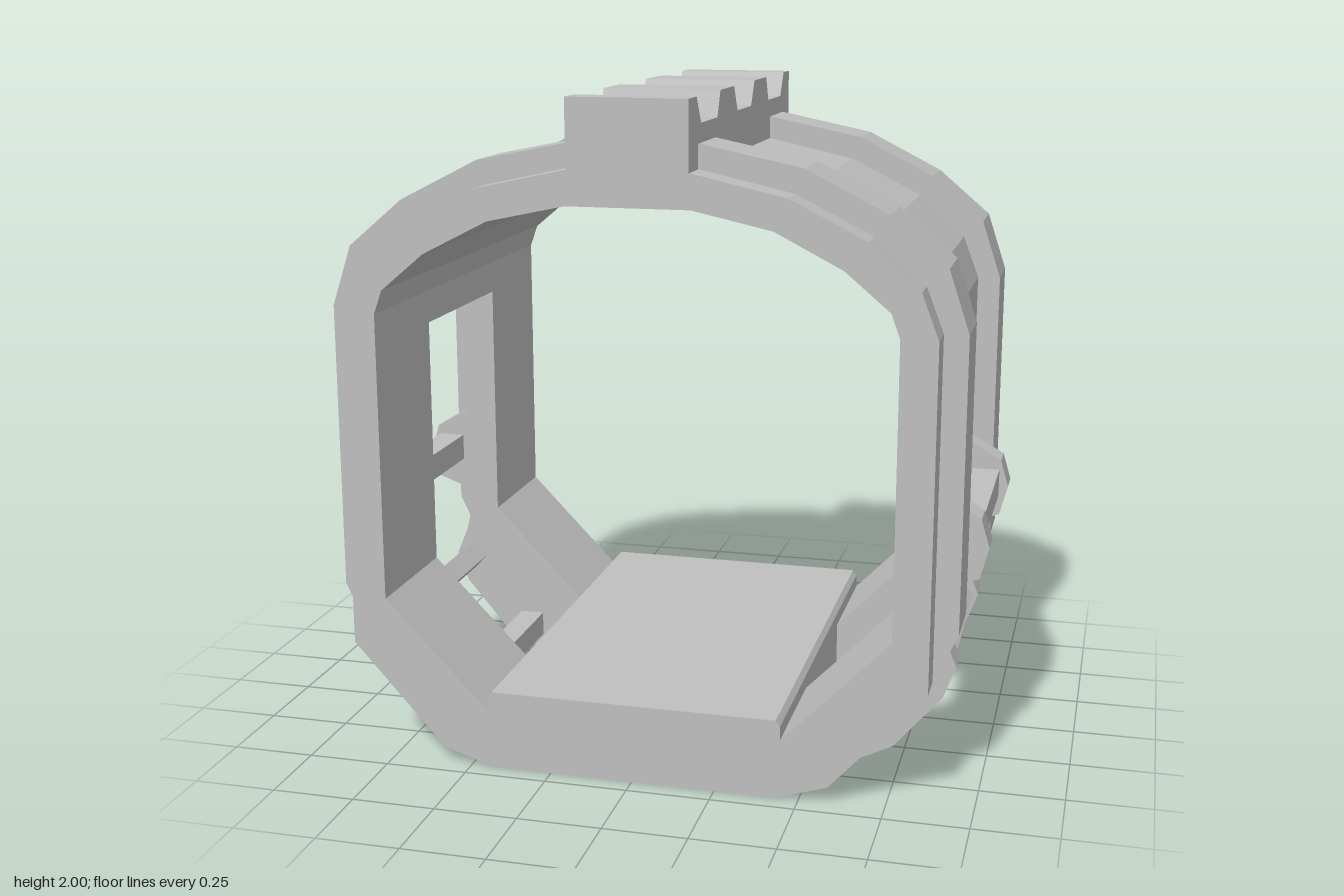
import * as THREE from 'three';

// Half profiles (+x side), listed from the bottom up to the crown.
const outerTop = [[0.865, 1.37], [0.815, 1.5], [0.67, 1.63], [0.45, 1.74], [0.18, 1.8]];
const innerTop = [[0.76, 1.37], [0.735, 1.44], [0.605, 1.55], [0.41, 1.65], [0.18, 1.7]];
const outer = [[0.445, 0.005], [0.585, 0.05], [0.865, 0.36], ...outerTop];
const inner = [[0.445, 0.18], [0.76, 0.505], ...innerTop];
const flangeOuter = [[0.865, 0.36], [0.935, 0.505], [0.935, 1.37], [0.875, 1.55],
  [0.71, 1.69], [0.475, 1.81], [0.18, 1.87]];
const flangeInner = [[0.83, 0.4], [0.83, 1.37], [0.78, 1.49], [0.65, 1.6], [0.44, 1.71], [0.18, 1.76]];

const upperLug = [[0.85, 0.57], [0.865, 0.57], [0.97, 0.61], [0.995, 0.705], [0.97, 0.79],
  [0.865, 0.85], [0.85, 0.85]];
const lowerLug = [[0.84, 0.46], [0.865, 0.46], [0.875, 0.42], [0.912, 0.33], [0.875, 0.23],
  [0.73, 0.06], [0.62, 0.005], [0.535, 0.034], [0.56, 0.09], [0.82, 0.38]];

const mirror = (pts) => pts.map(([x, y]) => [-x, y]);
const arch = (o, i) => [...o, ...mirror(o).reverse(), ...mirror(i), ...[...i].reverse()];

// Extrude an xy outline from z0 to z1.
function slab(pts, z0, z1) {
  const shape = new THREE.Shape(pts.map(([x, y]) => new THREE.Vector2(x, y)));
  const geo = new THREE.ExtrudeGeometry(shape, { depth: z1 - z0, bevelEnabled: false });
  return geo.translate(0, 0, z0);
}

export function createModel() {
  const model = new THREE.Group();
  model.name = 'railedBand';
  const grey = new THREE.MeshStandardMaterial({ color: 0xbfbfbf });
  grey.name = 'grey';

  function add(name, geo) {
    const mesh = new THREE.Mesh(geo, grey);
    mesh.name = name;
    model.add(mesh);
    return mesh;
  }

  // Shell: two full hoops joined by a roof, leaving a window on each side
  add('frontHoop', slab(arch(outer, inner), 0.285, 0.693));
  add('backHoop', slab(arch(outer, inner), -0.693, -0.285));
  add('roof', slab(arch([[0.865, 1.27], ...outerTop], [[0.76, 1.27], ...innerTop]), -0.285, 0.285));

  // Raised flanges around the hoops
  add('frontFlange', slab(arch(flangeOuter, flangeInner), 0.387, 0.587));
  add('backFlange', slab(arch(flangeOuter, flangeInner), -0.587, -0.387));

  // Floor block with chamfered top edges
  const floorHalf = [[0.445, 0], [0.445, 0.222], [0.432, 0.24]];
  add('floor', slab([...floorHalf, ...mirror(floorHalf).reverse()], -0.693, 0.693));

  // Notched rail along the crown, drawn in zy and turned to run front to back
  const teeth = [[0.095, 1.925], [0.143, 2], [0.32, 2], [0.357, 1.925], [0.552, 1.925],
    [0.605, 2], [0.695, 2], [0.695, 1.795]];
  const rail = slab([...teeth, ...mirror(teeth).reverse()], -0.175, 0.175);
  add('topRail', rail.rotateY(Math.PI / 2));

  // Side lugs and the bars between them
  for (const side of [1, -1]) {
    const label = side > 0 ? 'left' : 'right';
    const flip = (pts) => (side > 0 ? pts : mirror(pts));
    for (const [z0, z1] of [[0.285, 0.383], [-0.383, -0.285]]) {
      add(label + 'UpperLug', slab(flip(upperLug), z0, z1));
      add(label + 'LowerLug', slab(flip(lowerLug), z0, z1));
    }
    const bars = [
      ['UpperBar', 0.923, 0.717, 0.085, 0],
      ['MiddleBar', 0.85, 0.328, 0.068, 0.75],
      ['LowerBar', 0.64, 0.092, 0.078, 0],
    ];
    for (const [name, x, y, size, turn] of bars) {
      const bar = add(label + name, new THREE.BoxGeometry(size, size, 0.6));
      bar.position.set(side * x, y, 0);
      bar.rotation.z = side * turn;
    }
  }
  return model;
}
